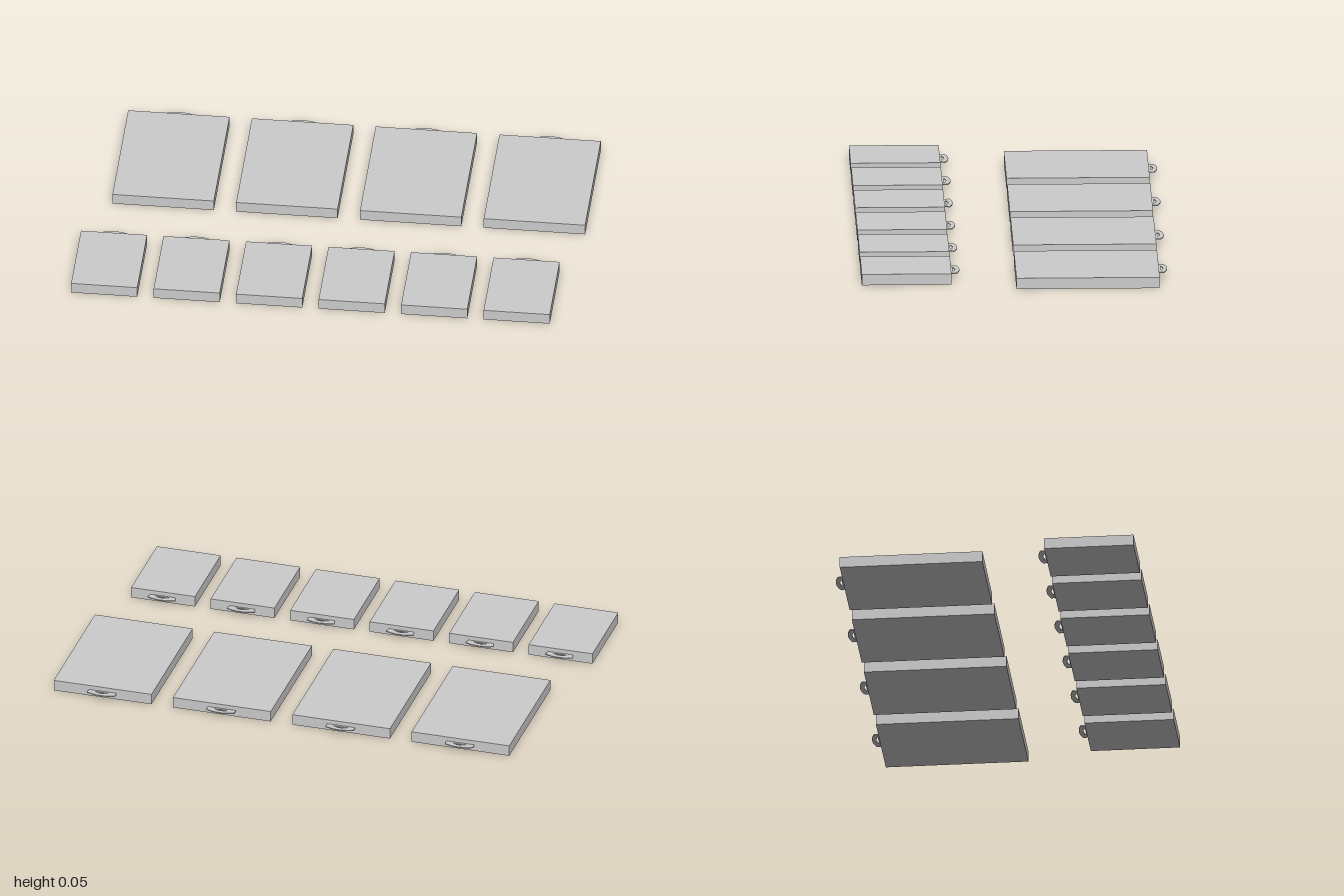
import * as THREE from 'three';

const HEIGHT = 0.045;
const material = new THREE.MeshStandardMaterial({ color: 0xcccccc, flatShading: true });

// Thin arched hanging tab with a curved slot; its base lies on z = 0 and it points to -z
function tabGeometry(baseHalf, topHalf, slotBottom, slotTop) {
  const shape = new THREE.Shape();
  shape.moveTo(-baseHalf, -0.002);
  shape.lineTo(baseHalf, -0.002);
  shape.lineTo(topHalf, 0.022);
  shape.quadraticCurveTo(0, 0.048, -topHalf, 0.022);
  shape.closePath();

  const slot = new THREE.Path();
  slot.moveTo(-0.031, slotBottom);
  slot.quadraticCurveTo(0, slotTop * 2 - slotBottom, 0.031, slotBottom);
  slot.closePath();
  shape.holes.push(slot);

  const geometry = new THREE.ExtrudeGeometry(shape, { depth: 0.004, bevelEnabled: false, curveSegments: 8 });
  geometry.translate(0, 0, -0.002);
  geometry.rotateX(-Math.PI / 2);
  return geometry;
}

// Row of equal flat panels, each with a tab on its back edge
function panelRow(name, { count, firstX, pitch, width, back, front, tab }) {
  const row = new THREE.Group();
  row.name = name + 'Row';
  const body = new THREE.BoxGeometry(width, HEIGHT, front - back);
  for (let i = 0; i < count; i++) {
    const panel = new THREE.Group();
    panel.name = name;
    panel.position.set(firstX + i * pitch, 0, 0);

    const slab = new THREE.Mesh(body, material);
    slab.name = 'slab';
    slab.position.set(0, HEIGHT / 2, (front + back) / 2);

    const hanger = new THREE.Mesh(tab, material);
    hanger.name = 'hangingTab';
    hanger.position.set(0, 0.025, back);

    panel.add(slab, hanger);
    row.add(panel);
  }
  return row;
}

export function createModel() {
  const model = new THREE.Group();
  model.name = 'panelSet';
  model.add(
    panelRow('largePanel', {
      count: 4, firstX: -0.698, pitch: 0.498, width: 0.408,
      back: -0.578, front: -0.005, tab: tabGeometry(0.058, 0.058, 0.009, 0.018),
    }),
    panelRow('smallPanel', {
      count: 6, firstX: -0.867, pitch: 0.332, width: 0.266,
      back: 0.253, front: 0.612, tab: tabGeometry(0.052, 0.058, 0.007, 0.017),
    }),
  );
  return model;
}
